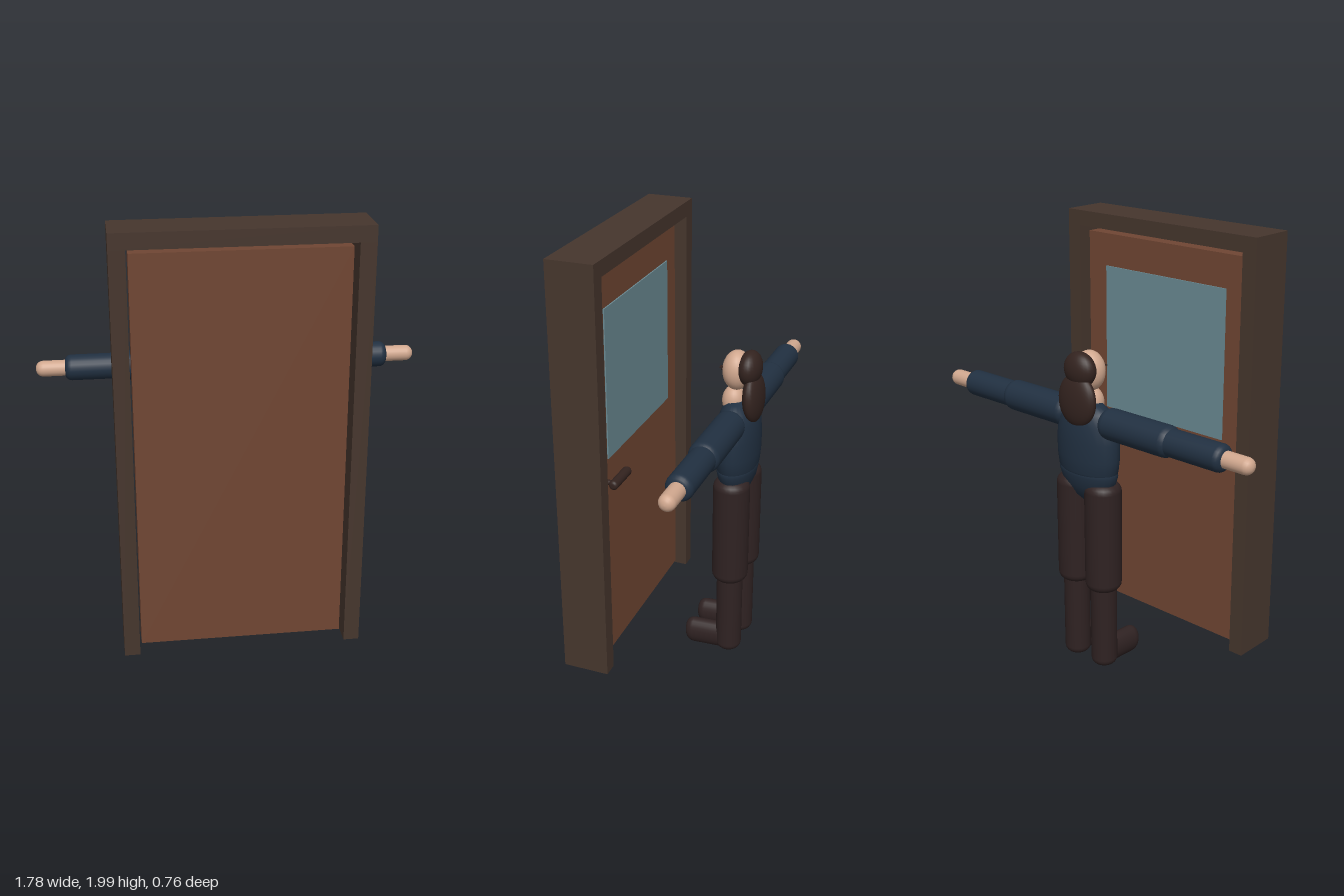
import * as THREE from 'three';

const mat = (name, color, side = THREE.FrontSide) => {
  const m = new THREE.MeshStandardMaterial({ color, side });
  m.name = name;
  return m;
};

export function createModel() {
  const model = new THREE.Group();
  model.name = 'figureBehindDoor';

  const frameWood = mat('frame wood', 0x46362d);
  const doorWood = mat('door wood', 0x704633);
  const glass = mat('window glass', 0x6a8a93);
  const shirt = mat('navy shirt', 0x213041);
  const trousers = mat('dark trousers', 0x2f2222);
  const hair = mat('dark brown', 0x33231f);
  const skin = mat('skin', 0xd0a78e);

  const add = (parent, name, geometry, material, x = 0, y = 0, z = 0) => {
    const mesh = new THREE.Mesh(geometry, material);
    mesh.name = name;
    mesh.position.set(x, y, z);
    parent.add(mesh);
    return mesh;
  };

  // Box given by its minimum and maximum corners
  const slab = (parent, name, material, [x0, y0, z0], [x1, y1, z1]) =>
    add(parent, name, new THREE.BoxGeometry(x1 - x0, y1 - y0, z1 - z0), material,
      (x0 + x1) / 2, (y0 + y1) / 2, (z0 + z1) / 2);

  const lathe = (points) =>
    new THREE.LatheGeometry(points.map(([r, y]) => new THREE.Vector2(r, y)), 24);

  // Upright cylinder with rounded rims, centred on the origin
  const rod = (r, length, bevel) => {
    const points = [[0, -length / 2]];
    const steps = 5;
    for (const end of [-1, 1]) {
      for (let i = 0; i <= steps; i++) {
        const a = (end < 0 ? i - steps : i) / steps * Math.PI / 2;
        points.push([r - bevel + bevel * Math.cos(a),
          end * (length / 2 - bevel) + bevel * Math.sin(a)]);
      }
    }
    points.push([0, length / 2]);
    return lathe(points);
  };

  const ball = (parent, name, material, [x, y, z], [rx, ry, rz]) => {
    const mesh = add(parent, name, new THREE.SphereGeometry(1, 24, 18), material, x, y, z);
    mesh.scale.set(rx, ry, rz);
    return mesh;
  };

  // Door and its frame
  const door = new THREE.Group();
  door.name = 'door';
  model.add(door);
  slab(door, 'frameRightPost', frameWood, [-0.55, 0.05, 0.165], [-0.48, 1.93, 0.38]);
  slab(door, 'frameLeftPost', frameWood, [0.46, 0.05, 0.165], [0.53, 1.93, 0.38]);
  slab(door, 'frameLintel', frameWood, [-0.55, 1.93, 0.165], [0.53, 2, 0.38]);
  slab(door, 'doorPanel', doorWood, [-0.47, 0.07, 0.22], [0.45, 1.9, 0.32]);
  slab(door, 'windowPane', glass, [-0.36, 1.06, 0.214], [0.34, 1.75, 0.221]);

  // Lever handle on the back of the door
  const lever = add(door, 'handleLever', rod(0.022, 0.17, 0.015), hair, 0.335, 0.975, 0.163);
  lever.rotation.z = Math.PI / 2;
  const stem = add(door, 'handleStem', new THREE.CylinderGeometry(0.012, 0.012, 0.06, 16), hair,
    0.39, 0.975, 0.193);
  stem.rotation.x = Math.PI / 2;

  // Standing figure with arms stretched out
  const figure = new THREE.Group();
  figure.name = 'figure';
  figure.position.z = -0.268;
  model.add(figure);

  const torso = add(figure, 'torso', lathe([[0, 0.95], [0.14, 0.955], [0.158, 0.98], [0.166, 1.04],
    [0.166, 1.12], [0.155, 1.2], [0.125, 1.25], [0.08, 1.28], [0, 1.29]]), shirt);
  torso.scale.z = 0.57;
  const hips = add(figure, 'hips', lathe([[0, 0.82], [0.05, 0.83], [0.1, 0.86], [0.14, 0.91],
    [0.158, 0.96], [0.155, 0.99], [0, 1]]), shirt);
  hips.scale.z = 0.55;

  // Head, neck and hair
  ball(figure, 'neck', skin, [0, 1.275, 0.026], [0.055, 0.07, 0.052]);
  ball(figure, 'head', skin, [0, 1.42, 0.014], [0.073, 0.09, 0.064]);
  ball(figure, 'hairCap', hair, [0, 1.437, -0.045], [0.083, 0.078, 0.052]);
  const longHair = ball(figure, 'longHair', hair, [0, 1.305, -0.065], [0.105, 0.118, 0.042]);
  longHair.rotation.x = 0.06;

  for (const s of [-1, 1]) {
    const side = s > 0 ? 'left' : 'right';

    // Eye and lashes
    ball(figure, side + 'Eye', hair, [s * 0.027, 1.428, 0.07], [0.011, 0.008, 0.008]);
    slab(figure, side + 'Lashes', hair, [s * 0.027 - 0.013, 1.435, 0.068],
      [s * 0.027 + 0.013, 1.438, 0.083]);

    // Arm, from the shoulder to the fingertips
    const arm = new THREE.Group();
    arm.name = side + 'Arm';
    arm.position.y = 1.212;
    figure.add(arm);
    const limb = (name, r, from, to, bevel, material) => {
      const mesh = add(arm, side + name, rod(r, to - from, bevel), material, s * (from + to) / 2);
      mesh.rotation.z = Math.PI / 2;
    };
    limb('UpperArm', 0.07, 0.1, 0.49, 0.04, shirt);
    limb('Forearm', 0.06, 0.4, 0.757, 0.03, shirt);
    limb('Hand', 0.037, 0.66, 0.89, 0.034, skin);

    // Leg and shoe
    const leg = new THREE.Group();
    leg.name = side + 'Leg';
    leg.position.x = s * 0.085;
    figure.add(leg);
    add(leg, side + 'Thigh', rod(0.083, 0.52, 0.04), trousers, 0, 0.67, 0);
    add(leg, side + 'Shin', rod(0.06, 0.44, 0.035), trousers, 0, 0.245, 0);
    const foot = add(leg, side + 'Foot', rod(0.065, 0.26, 0.038), trousers, 0, 0.08, 0.08);
    foot.rotation.x = Math.PI / 2 + 0.04;
    foot.scale.x = 0.66;
  }

  // Rest the soles on the ground
  model.updateMatrixWorld(true);
  model.position.y -= new THREE.Box3().setFromObject(model, true).min.y;
  return model;
}
